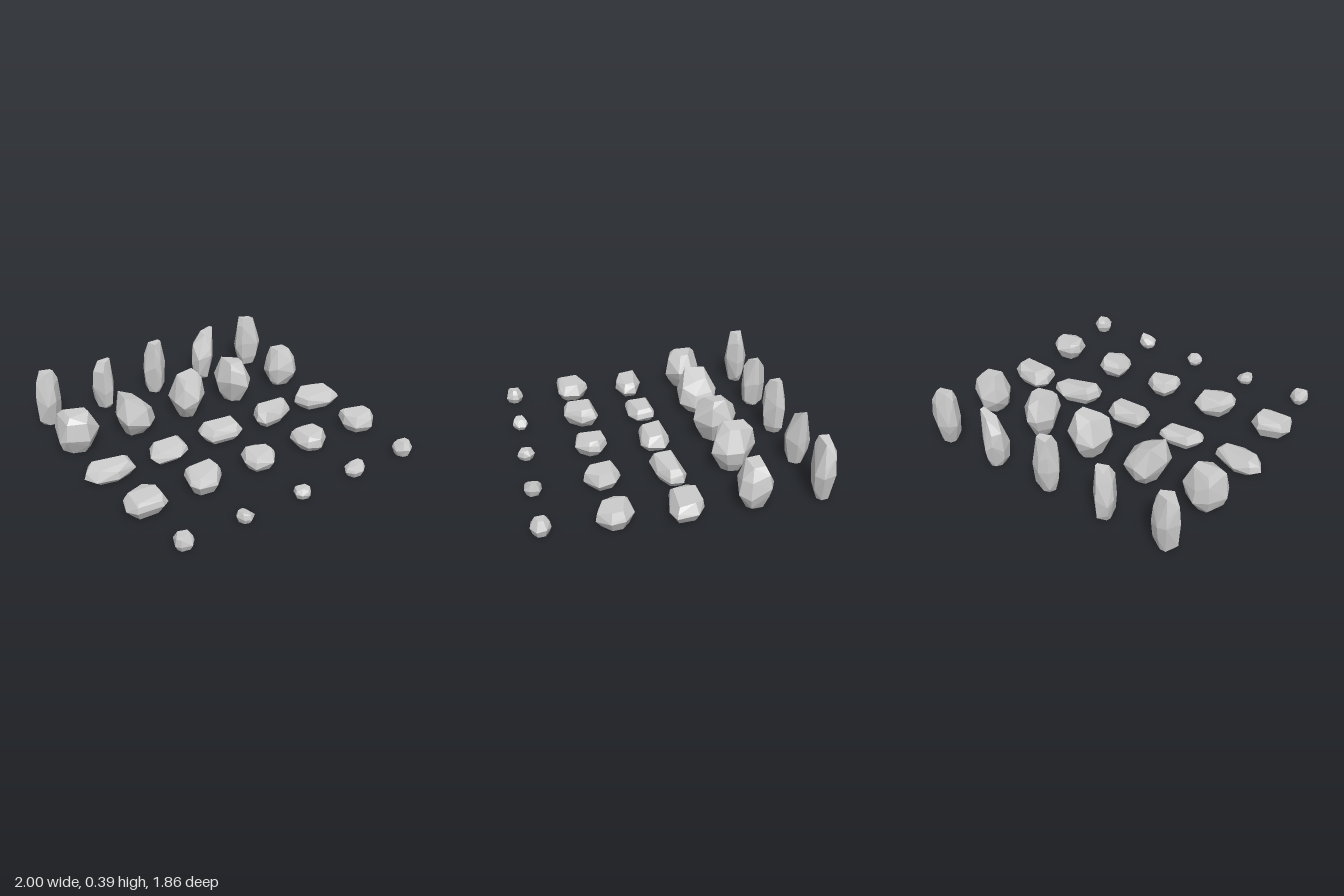
import * as THREE from 'three';
import { ConvexGeometry } from 'three/addons/geometries/ConvexGeometry.js';

const CELL = 0.427; // grid spacing
const SIDES = 7;

// Small repeatable variation in the range -1 to 1
function seeded(seed) {
  let s = seed * 7919 + 17;
  return () => {
    s = (s * 16807) % 2147483647;
    return (s / 2147483647) * 2 - 1;
  };
}

// Uneven, skewed polygon with full corners, fitted exactly to a width and depth
function rockOutline(width, depth, skew, fullness, vary) {
  const points = Array.from({ length: SIDES }, (_, i) => {
    const angle = ((i + 0.28 * vary()) / SIDES) * Math.PI * 2 + 0.4;
    const [c, s] = [Math.cos(angle), Math.sin(angle)];
    const corner = (Math.abs(c) ** fullness + Math.abs(s) ** fullness) ** (-1 / fullness);
    const radius = corner * (1 + 0.06 * vary());
    return new THREE.Vector2(c * radius * width, s * radius * depth + c * radius * width * skew);
  });
  const box = new THREE.Box2().setFromPoints(points);
  const centre = box.getCenter(new THREE.Vector2());
  const fit = new THREE.Vector2(width, depth).divide(box.getSize(new THREE.Vector2()));
  return points.map((p) => p.sub(centre).multiply(fit));
}

// Hull around stacked rings and a flat, possibly sloping, top facet
function rockGeometry({ rings, top, slopeZ, fullness }, [width, depth, height, slopeX, skew], seed) {
  const vary = seeded(seed);
  const outline = rockOutline(width, depth, skew, fullness, vary);
  const capShift = new THREE.Vector2(slopeX * 0.08, 0);
  const cap = outline.filter((_, i) => i % 2 === 0).map((p) => p.clone().multiplyScalar(top).add(capShift));
  const slope = (p) => p.x * slopeX + p.y * slopeZ;
  const peak = Math.max(...cap.map(slope));
  const topAt = (p) => height + slope(p) - peak;
  const points = cap.map((p) => new THREE.Vector3(p.x, topAt(p), p.y));
  rings.forEach(([fraction, scale], level) => {
    outline.forEach((p, i) => {
      const lift = vary() * 0.13;
      // Missing corners above and below the widest ring leave broad chipped facets
      if (level > 0 && scale < 1 && (i + level + seed) % 3 === 0) return;
      const q = p.clone().multiplyScalar(scale);
      const roof = THREE.MathUtils.clamp(topAt(q), height * 0.45, height);
      points.push(new THREE.Vector3(q.x, level === 0 ? 0 : roof * (fraction + lift), q.y));
    });
  });
  return new ConvexGeometry(points);
}

// One row of rocks of a kind; each size is width, depth, height, slope of the top in x, skew, nudge in x
function rockRow(row, name, kind, sizes) {
  const material = new THREE.MeshStandardMaterial({ color: 0xcccccc, flatShading: true });
  const group = new THREE.Group();
  group.name = `${name}Row`;
  sizes.forEach((size, column) => {
    const [, , , , , nudge = 0] = size;
    const rock = new THREE.Mesh(rockGeometry(kind, size, row * 5 + column + 1), material);
    rock.name = `${name}${column + 1}`;
    rock.position.set((column - 2) * CELL + 0.012 + nudge, 0, (row - 2) * CELL + 0.008);
    group.add(rock);
  });
  return group;
}

export function createModel() {
  const model = new THREE.Group();
  model.name = 'rockSet';

  // Rings are [height fraction, outline scale], from the ground up
  const tall = { rings: [[0, 0.58], [0.17, 0.88], [0.45, 1], [0.74, 0.88]], top: 0.56, slopeZ: 0, fullness: 2.2 };
  const round = { rings: [[0, 0.52], [0.2, 0.84], [0.46, 1], [0.75, 0.85]], top: 0.56, slopeZ: -0.05, fullness: 2.3 };
  const flat = { rings: [[0, 0.74], [0.38, 1], [0.7, 0.93]], top: 0.74, slopeZ: -0.15, fullness: 3 };
  const squat = { rings: [[0, 0.7], [0.46, 1], [0.8, 0.92]], top: 0.75, slopeZ: -0.07, fullness: 2.6 };
  const small = { rings: [[0, 0.74], [0.42, 1], [0.75, 0.86]], top: 0.55, slopeZ: 0, fullness: 2.4 };

  model.add(
    rockRow(0, 'tallRock', tall, [
      [0.18, 0.16, 0.39, 0, 0],
      [0.15, 0.16, 0.365, 0.2, 0],
      [0.17, 0.16, 0.39, 0.1, 0],
      [0.165, 0.18, 0.39, 0.5, 0],
      [0.2, 0.155, 0.39, -0.15, 0.1],
    ]),
    rockRow(1, 'boulder', round, [
      [0.275, 0.27, 0.275, 0, 0.1],
      [0.28, 0.28, 0.295, -0.42, -0.1],
      [0.25, 0.3, 0.31, 0.15, -0.1],
      [0.24, 0.3, 0.31, -0.1, 0.1, -0.02],
      [0.235, 0.235, 0.295, -0.1, 0, -0.01],
    ]),
    rockRow(2, 'slab', flat, [
      [0.325, 0.195, 0.115, 0, 0.05],
      [0.275, 0.185, 0.1, 0, -0.05],
      [0.285, 0.2, 0.12, 0, 0.05],
      [0.32, 0.2, 0.135, -0.08, -0.22, 0.013],
      [0.305, 0.215, 0.13, 0, 0.12, -0.02],
    ]),
    rockRow(3, 'stone', squat, [
      [0.26, 0.22, 0.125, 0, -0.05],
      [0.255, 0.24, 0.135, 0, -0.08],
      [0.225, 0.215, 0.115, 0, 0],
      [0.22, 0.23, 0.12, 0, 0.1],
      [0.23, 0.23, 0.13, 0, 0.1],
    ]),
    rockRow(4, 'pebble', small, [
      [0.12, 0.12, 0.095, 0, 0],
      [0.115, 0.105, 0.075, -0.2, 0],
      [0.11, 0.115, 0.07, 0, 0],
      [0.13, 0.11, 0.09, 0.2, 0],
      [0.125, 0.125, 0.1, 0, 0],
    ]),
  );
  return model;
}
